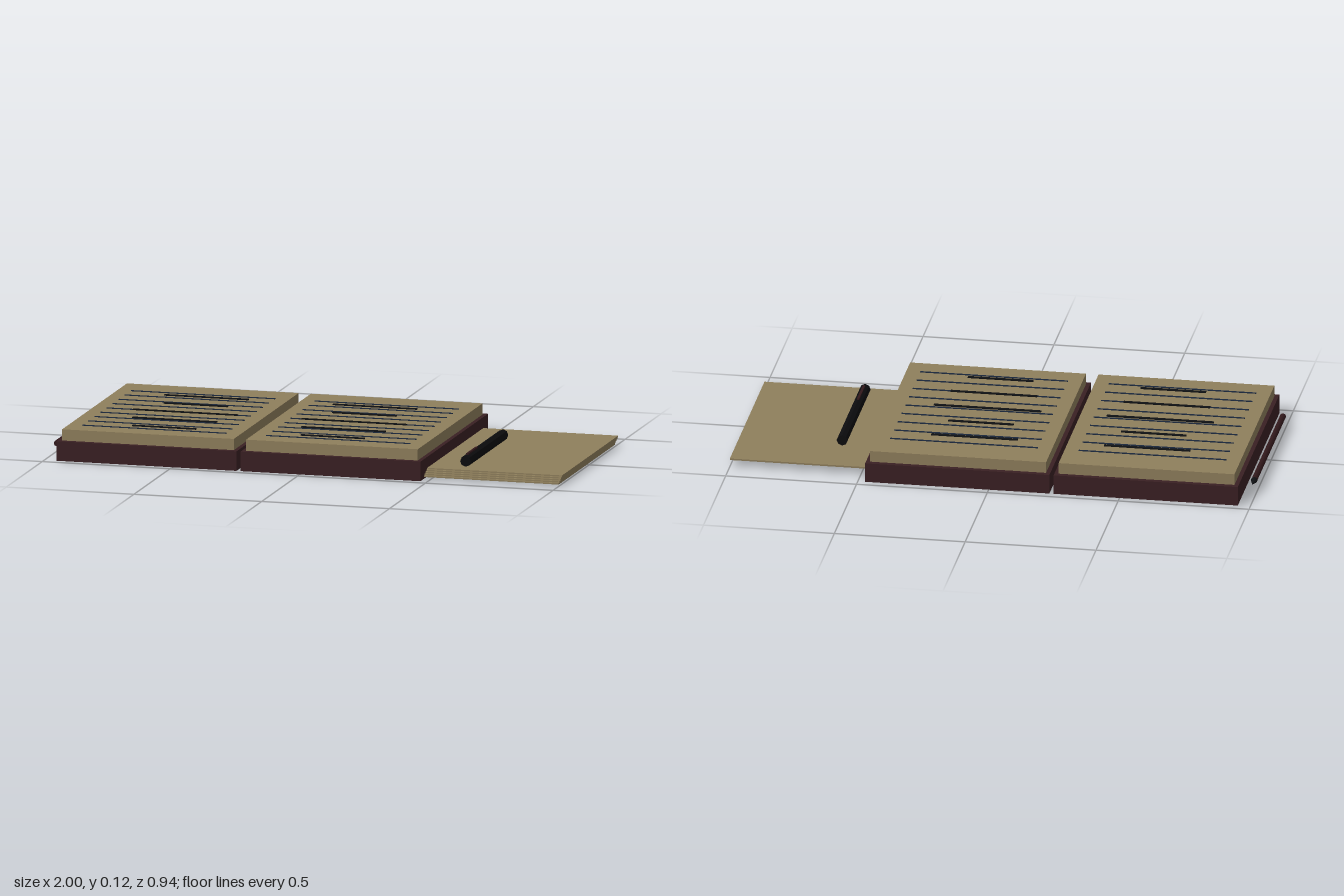
import * as THREE from 'three';

const mat = (name, color) => {
  const m = new THREE.MeshStandardMaterial({ color });
  m.name = name;
  return m;
};

export function createModel() {
  const model = new THREE.Group();
  model.name = 'openNotebook';
  const leather = mat('maroon leather', 0x3a2023);
  const paper = mat('aged paper', 0x8f7f5c);
  const rule = mat('navy rule', 0x1c2a40);
  const ink = mat('black ink', 0x0f1114);
  const black = mat('black barrel', 0x0c0c0e);
  const wood = mat('pencil maroon', 0x32191c);

  const add = (parent, name, geometry, material, x, y, z) => {
    const mesh = new THREE.Mesh(geometry, material);
    mesh.name = name;
    mesh.position.set(x, y, z);
    parent.add(mesh);
    return mesh;
  };
  const box = (parent, name, material, w, h, d, x, y, z) =>
    add(parent, name, new THREE.BoxGeometry(w, h, d), material, x, y, z);

  // Two halves: cover block, page block, ruled lines and writing
  const strokeLengths = [0.33, 0.25, 0.41, 0.33, 0.25];
  for (const side of [-1, 1]) {
    const half = new THREE.Group();
    half.name = side < 0 ? 'rightHalf' : 'leftHalf';
    half.position.x = -0.24 + side * 0.36;
    model.add(half);
    box(half, 'cover', leather, 0.704, 0.075, 0.94, 0, 0.0375, 0);
    box(half, 'pages', paper, 0.672, 0.043, 0.9, 0, 0.0965, 0);
    for (let i = 0; i < 9; i++) {
      box(half, 'ruledLine', rule, 0.564, 0.003, 0.006, 0, 0.1195, -0.315 + i * 0.0845);
    }
    strokeLengths.forEach((length, i) => {
      box(half, 'writing', ink, length, 0.004, 0.012, -side * 0.03, 0.123, -0.257 + i * 0.147);
    });
  }

  // Fanned loose sheets tucked beneath the model's left half
  for (let i = 0; i < 5; i++) {
    box(model, 'looseSheet', paper, 0.6, 0.0052, 0.78, 0.7, 0.0095 + i * 0.0052, 0.033 - i * 0.012);
  }

  // Pen with a slim clip, resting on the sheets
  const barrel = new THREE.CylinderGeometry(0.021, 0.021, 0.52, 8).rotateX(Math.PI / 2);
  const penMaterial = black.clone();
  penMaterial.flatShading = true;
  add(model, 'pen', barrel, penMaterial, 0.605, 0.0535, 0.055);
  box(model, 'penClip', wood, 0.009, 0.006, 0.135, 0.605, 0.0765, 0.222);

  // Pencil lying beside the other cover, pointing backwards
  const pencil = new THREE.Group();
  pencil.name = 'pencil';
  pencil.position.set(-0.987, 0.04, 0);
  model.add(pencil);
  const shaft = new THREE.CylinderGeometry(0.012, 0.012, 0.65, 8).rotateX(Math.PI / 2);
  add(pencil, 'pencilShaft', shaft, wood, 0, 0, 0.018);
  const tip = new THREE.ConeGeometry(0.013, 0.045, 8).rotateX(-Math.PI / 2);
  add(pencil, 'pencilTip', tip, ink, 0, 0, -0.3285);

  return model;
}
